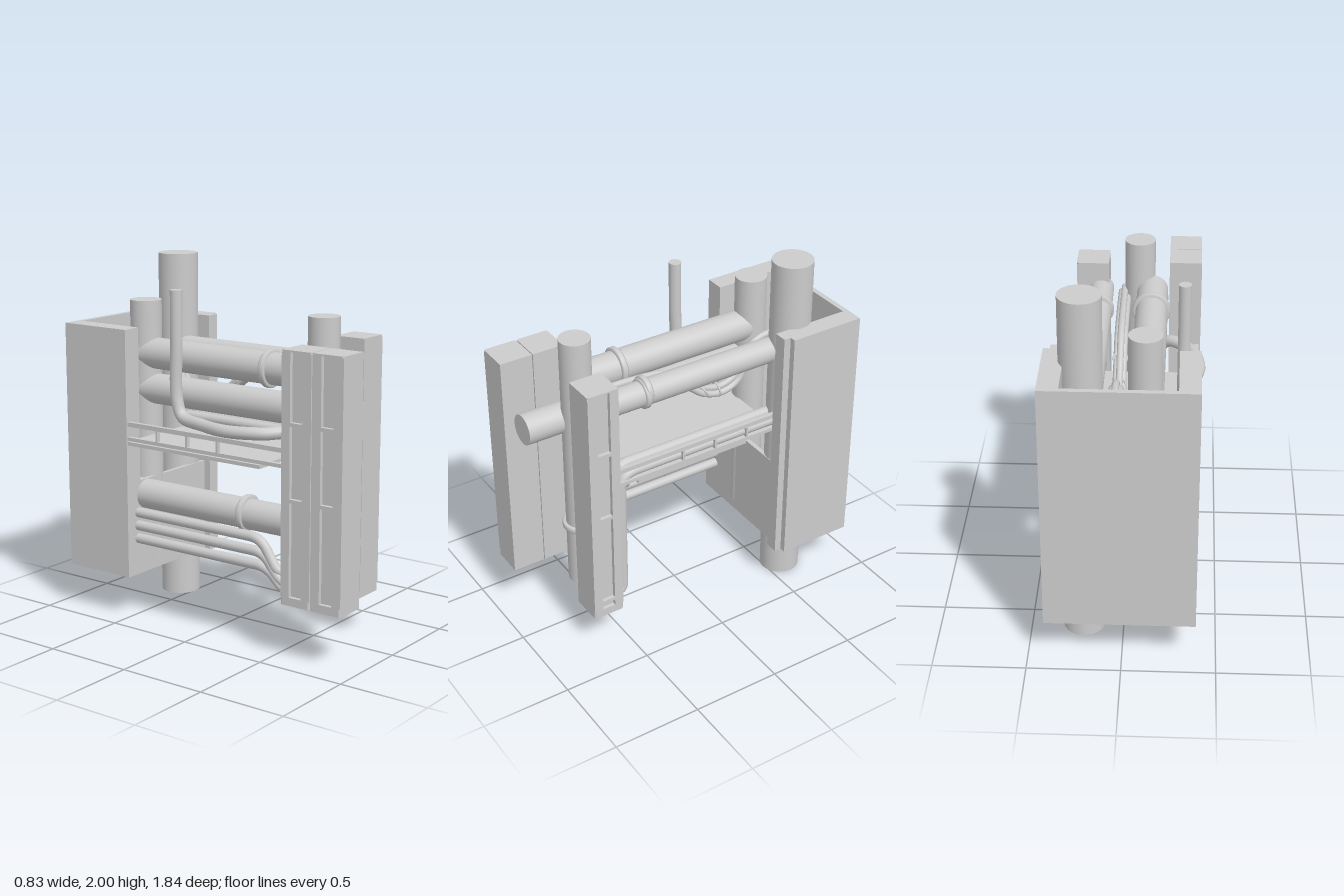
import * as THREE from 'three';

const mat = new THREE.MeshStandardMaterial({ color: 0xcccccc });

export function createModel() {
  const root = new THREE.Group();
  const add = (name, geo, parent = root) => {
    const m = new THREE.Mesh(geo, mat);
    m.name = name;
    parent.add(m);
    return m;
  };
  // Box given by its min and max on each axis
  const box = (name, x0, x1, y0, y1, z0, z1, parent) => {
    const m = add(name, new THREE.BoxGeometry(x1 - x0, y1 - y0, z1 - z0), parent);
    m.position.set((x0 + x1) / 2, (y0 + y1) / 2, (z0 + z1) / 2);
    return m;
  };
  const vertical = (name, x, z, r, y0, y1) => {
    add(name, new THREE.CylinderGeometry(r, r, y1 - y0, 40)).position.set(x, (y0 + y1) / 2, z);
  };
  const along = (name, x, y, r, z0, z1) => {
    const m = add(name, new THREE.CylinderGeometry(r, r, z1 - z0, 40));
    m.rotation.x = Math.PI / 2;
    m.position.set(x, y, (z0 + z1) / 2);
  };
  // Collar with bevelled edges; axis y, or z when turned
  const collar = (name, x, y, z, r, turned) => {
    const p = [[r - 0.025, -0.018], [r - 0.006, -0.018], [r, -0.01], [r, 0.01], [r - 0.006, 0.018], [r - 0.025, 0.018]];
    const m = add(name, new THREE.LatheGeometry(p.map(a => new THREE.Vector2(...a)), 40));
    m.position.set(x, y, z);
    if (turned) m.rotation.x = Math.PI / 2;
  };
  // Pipe through straight runs with rounded corners, ends capped
  const bent = (name, pts, r, bend = 0.07) => {
    const v = pts.map(p => new THREE.Vector3(...p));
    const path = new THREE.CurvePath();
    let from = v[0];
    for (let i = 1; i < v.length - 1; i++) {
      const toPrev = v[i - 1].clone().sub(v[i]), toNext = v[i + 1].clone().sub(v[i]);
      const d = Math.min(bend, toPrev.length() * 0.48, toNext.length() * 0.48);
      const a = v[i].clone().addScaledVector(toPrev.normalize(), d);
      const b = v[i].clone().addScaledVector(toNext.normalize(), d);
      path.add(new THREE.LineCurve3(from, a));
      path.add(new THREE.QuadraticBezierCurve3(a, v[i], b));
      from = b;
    }
    path.add(new THREE.LineCurve3(from, v[v.length - 1]));
    tube(name, path, r, 120);
  };
  const tube = (name, path, r, n = 80) => {
    add(name, new THREE.TubeGeometry(path, n, r, 14, false));
    for (const [t, s] of [[0, -1], [1, 1]]) {
      const cap = add(name + 'Cap', new THREE.CircleGeometry(r, 14));
      const p = path.getPointAt(t);
      cap.position.copy(p);
      cap.lookAt(p.clone().addScaledVector(path.getTangentAt(t), s));
    }
  };
  const smooth = pts => new THREE.CatmullRomCurve3(pts.map(p => new THREE.Vector3(...p)));

  // Rear cabinet, open at the top and upper front
  const cabinet = new THREE.Group();
  cabinet.name = 'cabinet';
  root.add(cabinet);
  box('backWall', -0.39, 0.41, 0.24, 1.64, -0.92, -0.89, cabinet);
  box('rightWall', -0.39, -0.28, 0.24, 1.64, -0.89, -0.485, cabinet);
  box('leftWall', 0.3, 0.41, 0.24, 1.64, -0.89, -0.485, cabinet);
  box('leftWallLip', 0.3, 0.375, 0.24, 1.64, -0.485, -0.445, cabinet);
  box('lowFrontWall', -0.28, 0.3, 0.24, 0.78, -0.51, -0.485, cabinet);
  box('cabinetFloor', -0.28, 0.3, 0.24, 0.26, -0.89, -0.51, cabinet);

  // Middle deck with a gap near the cabinet
  const deck = new THREE.Shape();
  [[-0.385, -0.41], [0.29, -0.41], [0.29, 0.28], [0.1, 0.28], [0.1, 0.49], [-0.385, 0.49]]
    .forEach(([x, y], i) => (i ? deck.lineTo(x, y) : deck.moveTo(x, y)));
  const d = add('deck', new THREE.ExtrudeGeometry(deck, { depth: 0.02, bevelEnabled: false }));
  d.rotation.x = -Math.PI / 2;
  d.position.y = 1.0;

  // Slotted post; the slot faces the outer side given by s
  const post = (name, x0, x1, z0, z1, y0, y1, s) => {
    const g = new THREE.Group();
    g.name = name;
    root.add(g);
    const b = 0.008, t = 0.022;
    const sh = new THREE.Shape();
    const inner = s > 0 ? x1 - t : x0 + t, outer = s > 0 ? x1 : x0, back = s > 0 ? x0 : x1;
    const zm = (z0 + z1) / 2;
    [[back, z0], [outer - s * b, z0], [outer, z0 + b], [outer, z1 - b], [outer - s * b, z1], [back, z1]]
      .forEach(([x, z], i) => (i ? sh.lineTo(x, -z) : sh.moveTo(x, -z)));
    const slot = new THREE.Path();
    [[inner, zm - 0.038], [outer - s * 0.003, zm - 0.038], [outer - s * 0.003, zm + 0.038], [inner, zm + 0.038]]
      .forEach(([x, z], i) => (i ? slot.lineTo(x, -z) : slot.moveTo(x, -z)));
    const section = (n, shape, ya, yb) => {
      const m = add(n, new THREE.ExtrudeGeometry(shape, { depth: yb - ya, bevelEnabled: false }), g);
      m.rotation.x = -Math.PI / 2;
      m.position.y = ya;
    };
    section('postFoot', sh, y0, y0 + 0.045);
    section('postHead', sh, y1 - 0.01, y1);
    const xs = [back, inner].sort((a, c) => a - c), xo = [inner, outer].sort((a, c) => a - c);
    box('postCore', ...xs, y0 + 0.045, y1 - 0.01, z0, z1, g);
    box('postRail', ...xo, y0 + 0.045, y1 - 0.01, z0, zm - 0.038, g);
    box('postRail', ...xo, y0 + 0.045, y1 - 0.01, zm + 0.038, z1, g);
    for (const y of [0.31, 0.86, 1.26]) box('slotBar', ...xo, y - 0.01, y + 0.01, zm - 0.038, zm + 0.038, g);
  };
  post('leftPost', 0.13, 0.31, 0.53, 0.71, 0.22, 1.64, 1);
  post('rightRearPost', -0.39, -0.21, 0.55, 0.73, 0.3, 1.64, -1);
  post('rightFrontPost', -0.39, -0.21, 0.735, 0.92, 0.3, 1.64, -1);

  // Upright pipes
  vertical('mainRiser', 0.215, -0.6, 0.112, 0, 2);
  vertical('rearRiser', -0.11, -0.57, 0.088, 0.3, 1.77);
  vertical('frontRiser', -0.045, 0.575, 0.085, 0.235, 1.77);
  collar('frontRiserCollar', -0.045, 0.605, 0.575, 0.105);

  // Large pipes running front to back
  along('longPipe', -0.115, 1.275, 0.085, -0.88, 0.865);
  along('upperPipe', -0.115, 1.475, 0.087, -0.57, 0.55);
  collar('upperPipeCollar', -0.115, 1.475, 0.29, 0.105, true);
  along('leftUpperPipe', 0.175, 1.465, 0.07, -0.6, 0.59);
  collar('leftUpperCollar', 0.175, 1.465, 0.31, 0.098 - 0.015, true);
  collar('leftUpperFlange', 0.175, 1.48, 0.3, 0.08, true);
  along('lowerPipe', -0.225, 0.695, 0.083, -0.6, 0.5);
  collar('lowerPipeCollar', -0.225, 0.7, 0.22, 0.1, true);

  // Thin riser that turns forward and curls down to the front
  tube('thinRiser', smooth([[-0.3, 1.87, -0.2], [-0.3, 1.6, -0.2], [-0.3, 1.28, -0.2], [-0.305, 1.19, -0.16],
    [-0.34, 1.17, 0], [-0.385, 1.17, 0.2], [-0.34, 1.175, 0.39], [-0.21, 1.17, 0.51],
    [-0.15, 1.1, 0.54], [-0.125, 0.98, 0.54]]), 0.034, 120);

  // Sagging cable bundle with ties
  [[0, 0.018], [-0.018, -0.012], [0.018, -0.012]].forEach(([dx, dy]) => {
    tube('cable', smooth([[0.6, 1.45], [0.3, 1.45], [0.08, 1.42], [-0.04, 1.34], [-0.16, 1.25], [-0.28, 1.225],
      [-0.38, 1.27], [-0.45, 1.4], [-0.53, 1.45], [-0.67, 1.46]].map(([z, y]) => [0.042 + dx, y + dy, z])), 0.019, 90);
  });
  for (const [z, y, a] of [[-0.03, 1.345, 0.7], [-0.16, 1.25, 0.5], [-0.25, 1.225, 0.1]]) {
    const tie = add('cableTie', new THREE.TorusGeometry(0.036, 0.006, 8, 24));
    tie.position.set(0.042, y, z);
    tie.rotation.x = a;
  }

  // Small pipes: up behind the left post, then back over the deck
  for (const x of [0.175, 0.255]) {
    bent('leftSmallPipe', [[x, 0.31, 0.57], [x, 0.31, 0.5], [x, 1.07, 0.5], [x, 1.07, -0.55]], 0.03, 0.1);
  }
  // Low pipes on the right side, stepping down at the front
  bent('lowPipe', [[-0.3, 0.6, -0.55], [-0.3, 0.6, 0.36], [-0.3, 0.43, 0.47], [-0.24, 0.43, 0.53], [-0.05, 0.43, 0.56]], 0.028);
  bent('lowPipe', [[-0.3, 0.525, -0.55], [-0.3, 0.525, 0.38], [-0.3, 0.4, 0.47], [-0.3, 0.36, 0.56]], 0.028);
  bent('lowPipe', [[-0.3, 0.45, -0.55], [-0.3, 0.45, 0.4], [-0.3, 0.35, 0.5], [-0.3, 0.34, 0.57]], 0.028);

  // Cable ladders along both sides
  for (const x of [0.285, -0.37]) {
    box('ladderTopRail', x - 0.012, x + 0.012, 1.105, 1.13, -0.6, 0.55);
    box('ladderBottomRail', x - 0.012, x + 0.012, 1.025, 1.045, -0.6, 0.55);
    for (const z of [0.13, -0.075, -0.28]) box('ladderRung', x - 0.012, x + 0.012, 1.045, 1.105, z - 0.006, z + 0.006);
  }
  return root;
}
